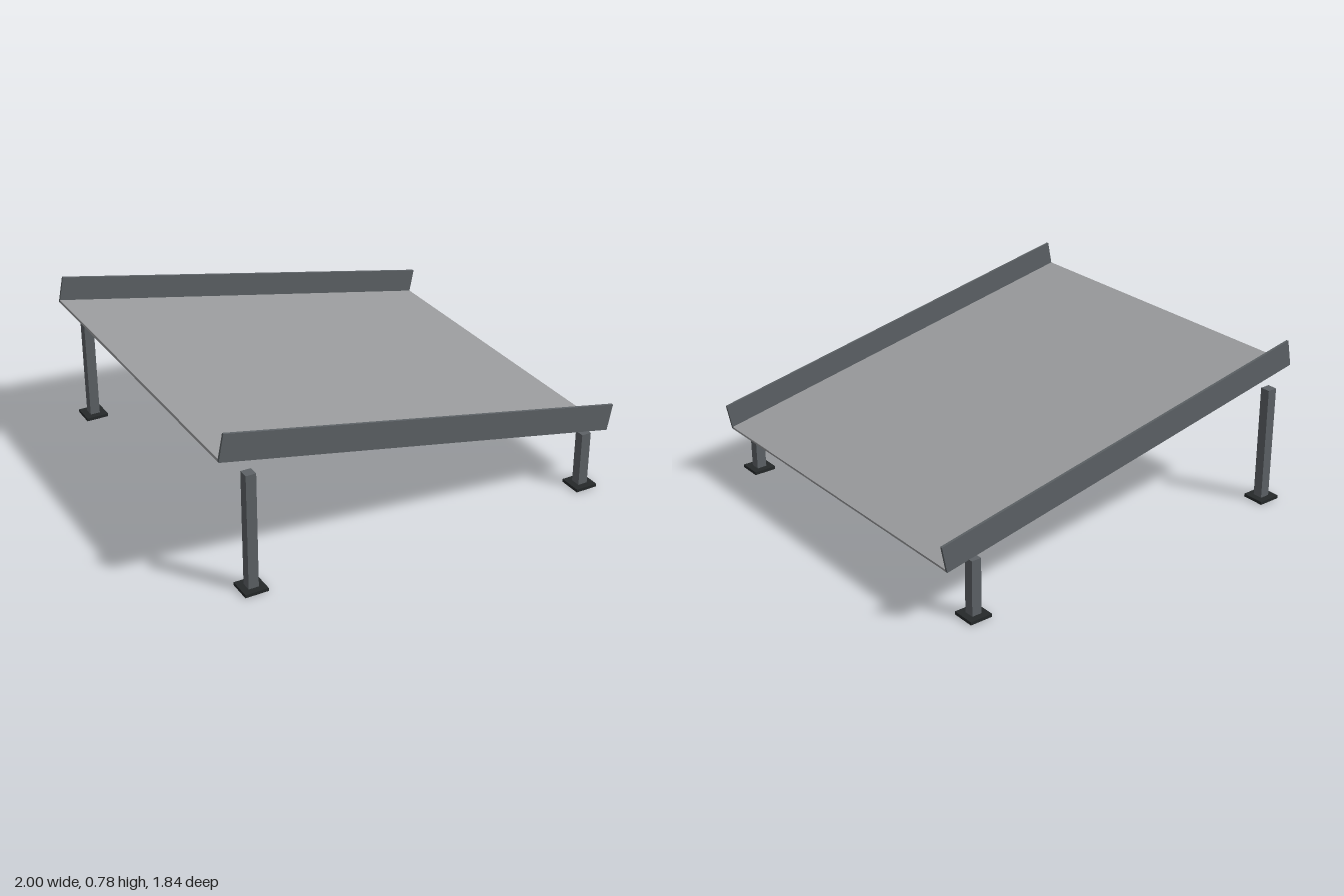
import * as THREE from 'three';

function material(name, color) {
  const m = new THREE.MeshStandardMaterial({ color });
  m.name = name;
  return m;
}

function box(name, mat, size, position) {
  const mesh = new THREE.Mesh(new THREE.BoxGeometry(...size), mat);
  mesh.name = name;
  mesh.position.set(...position);
  return mesh;
}

export function createModel() {
  const deckGrey = material('deck grey', 0x9b9c9e);
  const steelGrey = material('steel grey', 0x5d6266);
  const footBlack = material('foot black', 0x25292a);

  const model = new THREE.Group();
  model.name = 'slopedPlatform';

  // Tilted tray: a thin deck between two upright side rails
  const length = 2.014, railHeight = 0.128, railZ = 0.864, thin = 0.012;
  const tray = new THREE.Group();
  tray.name = 'tray';
  tray.position.y = 0.515;
  tray.rotation.z = -Math.atan(0.2005);
  tray.add(box('deck', deckGrey, [length, thin, 2 * railZ - thin], [0, (thin - railHeight) / 2, 0]));
  for (const side of [1, -1]) {
    tray.add(box(side > 0 ? 'frontRail' : 'backRail', steelGrey,
      [length, railHeight, thin], [0, 0, side * railZ]));
  }
  model.add(tray);

  // Four square posts on flat feet, tall at the raised end
  const footHeight = 0.015;
  for (const [end, x, top] of [['tall', -0.868, 0.567], ['short', 0.842, 0.279]]) {
    for (const side of [1, -1]) {
      const leg = new THREE.Group();
      leg.name = end + (side > 0 ? 'FrontLeg' : 'BackLeg');
      leg.position.set(x, 0, side * 0.867);
      leg.add(box('post', steelGrey, [0.048, top - footHeight, 0.048], [0, (top + footHeight) / 2, 0]));
      leg.add(box('foot', footBlack, [0.11, footHeight, 0.11], [0, footHeight / 2, 0]));
      model.add(leg);
    }
  }
  return model;
}
